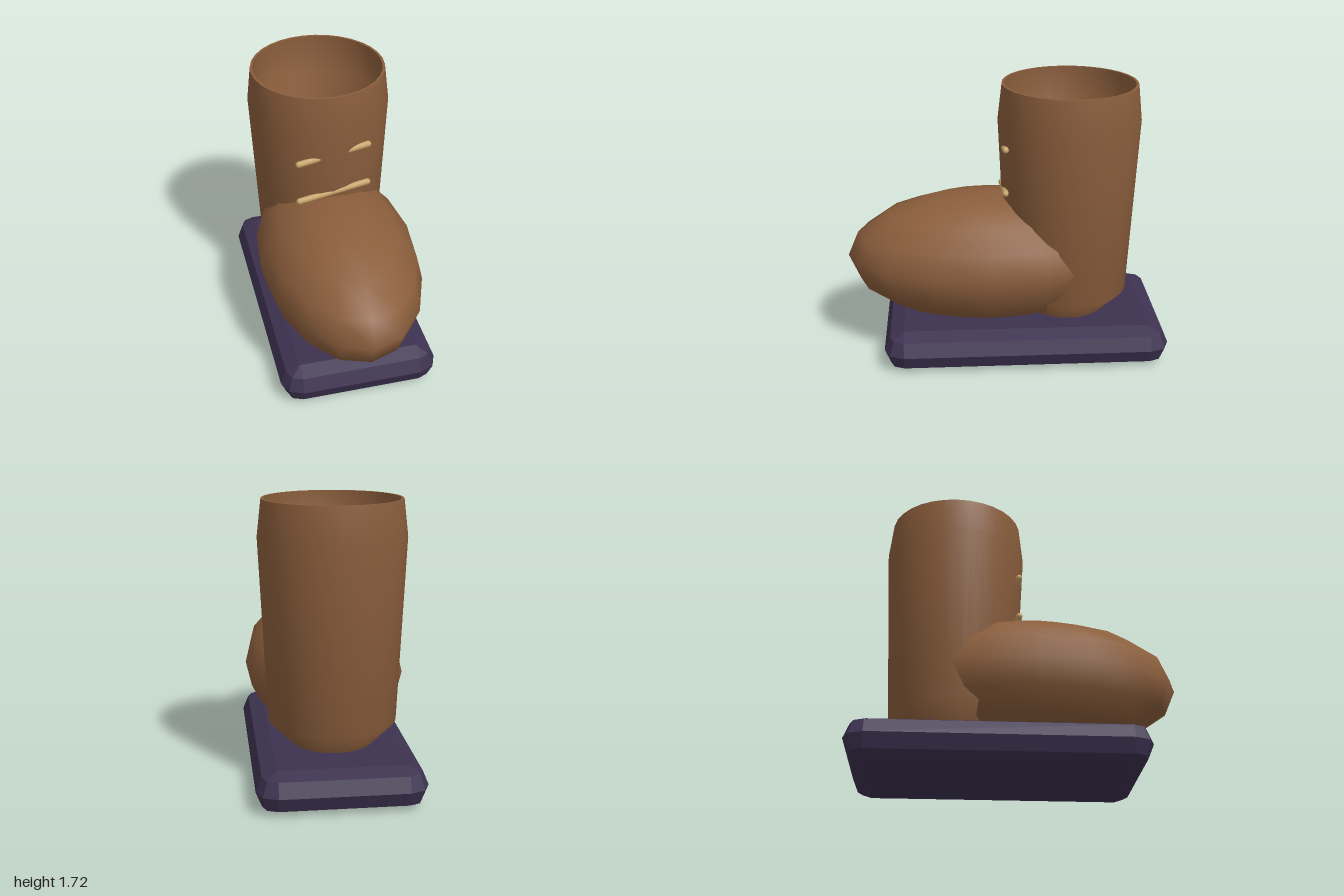
import * as THREE from 'three';
import { ConvexGeometry } from 'three/addons/geometries/ConvexGeometry.js';

const material = (name, color) => {
  const m = new THREE.MeshStandardMaterial({ color });
  m.name = name;
  return m;
};

export function createModel() {
  const leather = material('brown leather', 0x8b5e3c);
  const rubber = material('dark sole', 0x3d3250);
  const cord = material('tan lace', 0xc9a66b);

  const boot = new THREE.Group();
  boot.name = 'boot';
  const add = (name, geometry, mat, x, y, z) => {
    const mesh = new THREE.Mesh(geometry, mat);
    mesh.name = name;
    mesh.position.set(x, y, z);
    boot.add(mesh);
    return mesh;
  };
  const lathe = (profile) =>
    new THREE.LatheGeometry(profile.map(([r, y]) => new THREE.Vector2(r, y)), 32);

  // Sole: a slab wrapped around eight coarse corner spheres
  const radius = 0.123;
  const ball = new THREE.SphereGeometry(radius, 8, 4).getAttribute('position');
  const corners = [];
  for (const sx of [-1, 1]) {
    for (const sz of [-1, 1]) {
      for (let i = 0; i < ball.count; i++) {
        const p = new THREE.Vector3().fromBufferAttribute(ball, i);
        p.x += sx * (0.495 - radius);
        p.z += sz * (0.8875 - radius);
        corners.push(p);
      }
    }
  }
  add('sole', new ConvexGeometry(corners), rubber, 0, 0.128, -0.1125);

  // Foot: a stretched ball reaching back into the shaft
  const foot = new THREE.SphereGeometry(1, 16, 8);
  foot.scale(0.495, 0.415, 0.89);
  add('foot', foot, leather, 0, 0.615, 0.11);

  // Shaft: outer wall, narrow rim and funnel-shaped lining
  const shaftZ = -0.39;
  add('shaft', lathe([
    [0, 0.1], [0.1, 0.1], [0.385, 0.39], [0.44, 1.5], [0.415, 1.72],
  ]), leather, 0, 0, shaftZ);
  add('rim', lathe([[0.415, 1.72], [0.4, 1.72]]), leather, 0, 0, shaftZ);
  add('lining', lathe([
    [0.4, 1.72], [0.41, 1.45], [0, 0.05],
  ]), leather, 0, 0, shaftZ);

  // Laces: slanted cords sunk partly into the shaft
  for (const [name, y, rise] of [['lowerLace', 1.05, 0.08], ['upperLace', 1.324, 0.085]]) {
    const lace = add(name, new THREE.CapsuleGeometry(0.02, 0.44, 4, 10), cord, 0, y, 0.013);
    lace.rotation.z = Math.atan2(rise, 0.44) - Math.PI / 2;
  }

  return boot;
}
